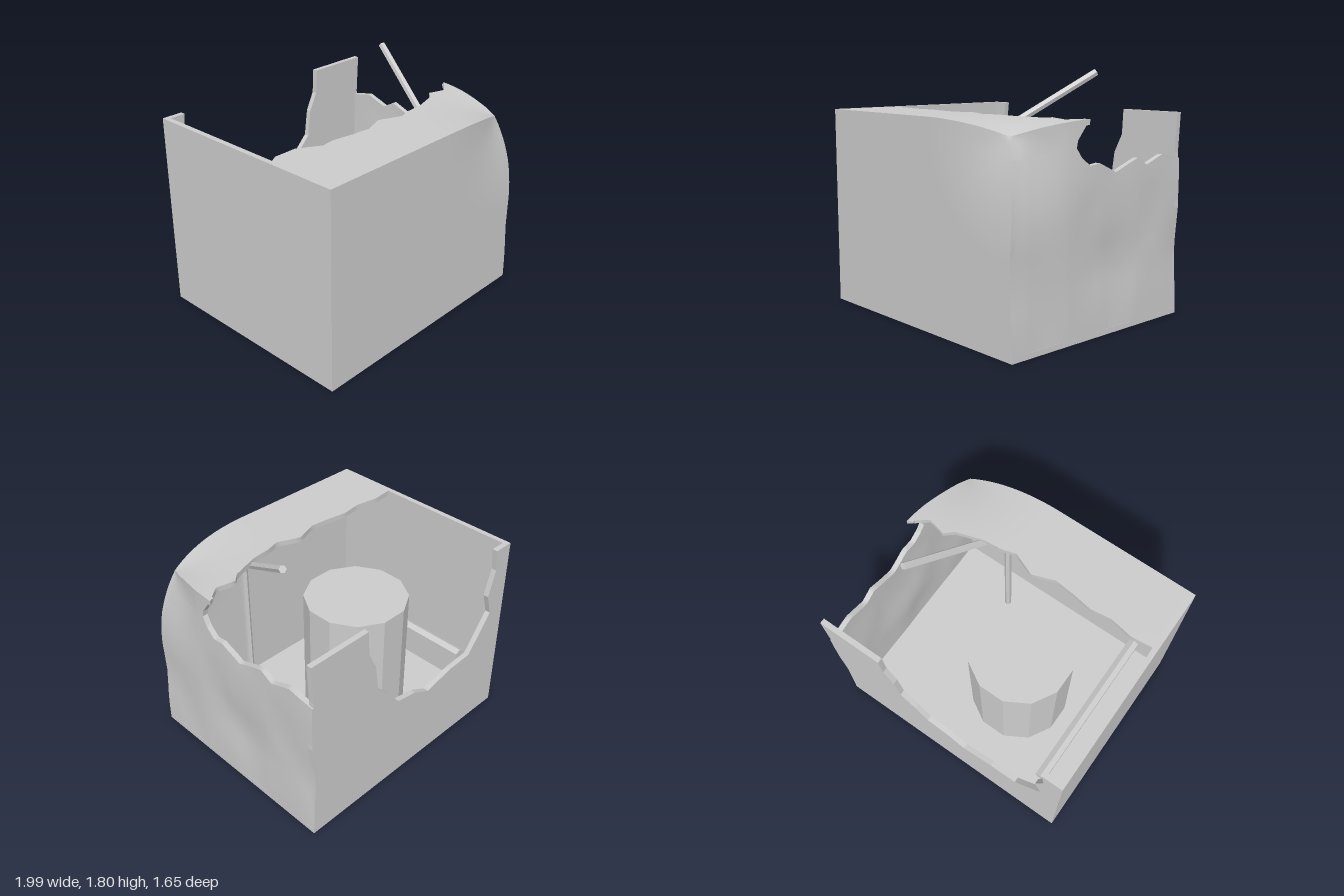
import * as THREE from 'three';

const W = -1, E = 0.99, H = 1.49, D = 0.825, T = 0.04;

// crushed upper corner plus slight waviness of the damaged side
function dent(p) {
  const d = Math.hypot(p.x - E, p.y - H, p.z - D);
  const w = Math.max(0, 1 - d / 0.87) ** 2;
  const side = Math.max(0, (p.x - 0.6) / 0.39) ** 2;
  const wave = 0.026 * Math.exp(-(((p.y - 0.5) / 0.22) ** 2)) * (0.6 + 0.4 * Math.cos(p.z * 7 - 5.8));
  const ripple = 0.008 * Math.sin(p.z * 9) * Math.sin(p.y * 6);
  return p.set(p.x - 0.14 * w - side * wave + Math.min(0, side * ripple), p.y - 0.095 * w, p.z - 0.11 * w);
}

// insert k points per polyline segment
function refine(pts, k) {
  const out = [];
  for (let i = 0; i < pts.length - 1; i++) {
    for (let j = 0; j < k; j++) out.push(pts[i].clone().lerp(pts[i + 1], j / k));
  }
  out.push(pts[pts.length - 1].clone());
  return out;
}

// thick sheet ruled between two edges, bent by the dent
function sheet(edgeA, edgeB, inward, k = 4, m = 20) {
  const a = refine(edgeA, k), b = refine(edgeB, k), n = a.length;
  const pos = [], idx = [];
  const addGrid = (rows, cols, at) => {
    const base = pos.length / 3;
    for (let i = 0; i < rows; i++) for (let j = 0; j < cols; j++) pos.push(...at(i, j).toArray());
    for (let i = 0; i < rows - 1; i++) for (let j = 0; j < cols - 1; j++) {
      const q = base + i * cols + j;
      idx.push(q, q + cols, q + 1, q + 1, q + cols, q + cols + 1);
    }
  };
  const point = (i, j, inner) => {
    const p = a[i].clone().lerp(b[i], j / m);
    dent(p);
    return inner ? p.add(inward) : p;
  };
  addGrid(n, m + 1, (i, j) => point(i, j, 0));
  addGrid(n, m + 1, (i, j) => point(i, m - j, 1));
  addGrid(n, 2, (i, s) => point(i, m, s));
  addGrid(n, 2, (i, s) => point(i, 0, 1 - s));
  addGrid(m + 1, 2, (j, s) => point(0, j, s));
  addGrid(m + 1, 2, (j, s) => point(n - 1, j, 1 - s));
  const g = new THREE.BufferGeometry();
  g.setAttribute('position', new THREE.Float32BufferAttribute(pos, 3));
  g.setIndex(idx);
  g.computeVertexNormals();
  return g;
}

export function createModel() {
  const group = new THREE.Group();
  const smooth = new THREE.MeshStandardMaterial({ color: 0xcccccc, side: THREE.DoubleSide });
  const flat = new THREE.MeshStandardMaterial({ color: 0xcccccc, flatShading: true });
  const V = (x, y, z) => new THREE.Vector3(x, y, z);
  const add = (name, geo, mat = flat) => {
    const mesh = new THREE.Mesh(geo, mat);
    mesh.name = name;
    group.add(mesh);
    return mesh;
  };
  const bar = (name, from, to, r) => {
    const dir = to.clone().sub(from);
    const mesh = add(name, new THREE.CylinderGeometry(r, r, dir.length(), 6));
    mesh.position.copy(from).lerp(to, 0.5);
    mesh.quaternion.setFromUnitVectors(V(0, 1, 0), dir.normalize());
  };

  // floor and intact side wall
  add('floor', new THREE.BoxGeometry(E - W, T, 2 * D)).position.set((W + E) / 2, T / 2, 0);
  add('intactSideWall', new THREE.BoxGeometry(T, H, 2 * D)).position.set(W + T / 2, H / 2, 0);

  // front wall
  add('frontWall', sheet([V(W, 0, D), V(W, H, D)], [V(E, 0, D), V(E, H, D)], V(0, 0, -T), 28, 32), smooth);

  // remaining roof strip with a torn edge
  const tornRoof = [[W, .33], [-.8, .31], [-.62, .34], [-.46, .32], [-.3, .345], [-.15, .36], [.02, .3], [.19, .37],
    [.3, .34], [.45, .33], [.66, .27], [.72, .21], [.87, .25], [E, .14]];
  add('tornRoof', sheet(tornRoof.map(([x]) => V(x, H, D)), tornRoof.map(([x, z]) => V(x, H, z)), V(0, -T, 0)), smooth);

  // damaged side wall: full-height front part, then the broken lower part
  const sideEdge = [[.26, 0], [.26, 1.31], [.25, 1.36], [.165, 1.46], [.155, H]];
  add('damagedSideWallFront', sheet(sideEdge.map(([, y]) => V(E, y, D)), sideEdge.map(([z, y]) => V(E, y, z)),
    V(-T, 0, 0), 8), smooth);
  const sideTop = [[.26, 1.31], [.21, 1.24], [.13, 1.18], [.04, 1.19], [-.13, 1.115], [-.35, 1.195], [-.45, 1.14],
    [-.62, 1.2], [-D, 1.16]];
  add('damagedSideWallBack', sheet(sideTop.map(([z]) => V(E, 0, z)), sideTop.map(([z, y]) => V(E, y, z)),
    V(-T, 0, 0)), smooth);

  // back wall with a large jagged breach
  const breach = [[W, 0], [E, 0], [.965, .5], [E, .8], [.975, 1.2], [E, H], [.49, H], [.48, 1.3], [.41, 1.16],
    [.38, .95], [.26, .83], [.16, .7], [-.02, .667], [-.17, .59], [-.42, .648], [-.635, .66], [-.74, .796],
    [-.85, .944], [-.8, 1.11], [-.86, 1.317], [-.84, H], [W, H]];
  const shape = new THREE.Shape(breach.map(([x, y]) => new THREE.Vector2(x, y)));
  add('breachedBackWall', new THREE.ExtrudeGeometry(shape, { depth: T, bevelEnabled: false })).position.z = -D;

  // twelve-sided tank on the floor
  const tank = add('tank', new THREE.CylinderGeometry(0.395, 0.395, 1.05, 12));
  tank.position.set(-0.175, 0.545, -0.085);
  tank.rotation.y = Math.PI / 12;

  // post with a slanted boom sticking out of the opening
  bar('post', V(.378, T, .53), V(.378, 1.32, .53), 0.027);
  bar('boom', V(.378, 1.315, .53), V(.68, 1.775, -.25), 0.027);

  // pipe along the intact side
  bar('pipe', V(-.755, .5, -.66), V(-.755, .5, .66), 0.047);

  return group;
}
